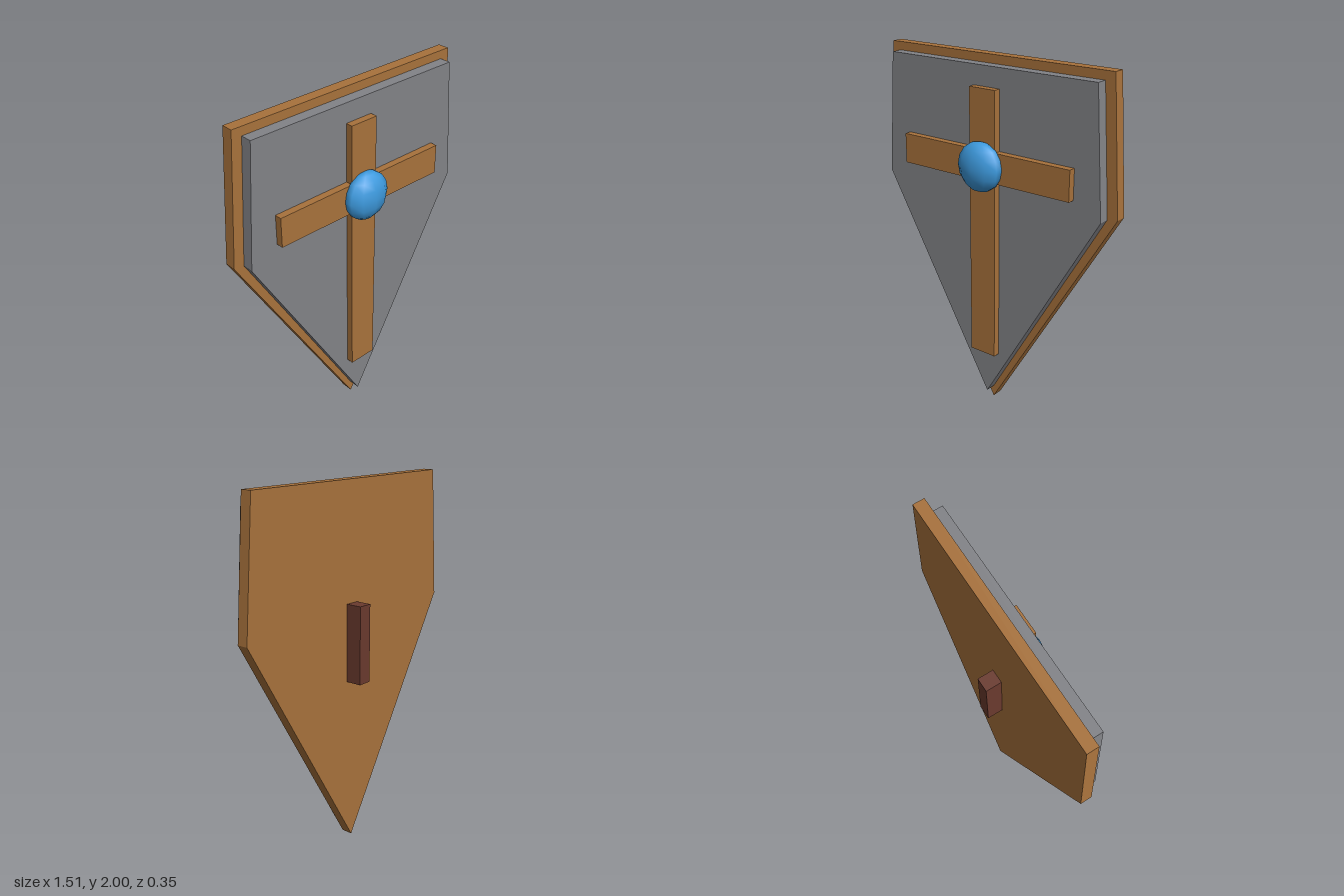
import * as THREE from 'three';

const material = (name, color) => {
  const m = new THREE.MeshStandardMaterial({ color });
  m.name = name;
  return m;
};

// Flat plate mirrored about x = 0; points run down the +x side.
function plate(name, side, z0, z1, mat) {
  const left = side.filter(([x]) => x > 0).map(([x, y]) => [-x, y]).reverse();
  const shape = new THREE.Shape([...side, ...left].map(([x, y]) => new THREE.Vector2(x, y)));
  const geo = new THREE.ExtrudeGeometry(shape, { depth: z1 - z0, bevelEnabled: false });
  geo.translate(0, 0, z0);
  const mesh = new THREE.Mesh(geo, mat);
  mesh.name = name;
  return mesh;
}

export function createModel() {
  const wood = material('wood', 0xa8723c);
  const steel = material('steel', 0x828387);
  const blue = material('blue', 0x3d9ade);
  const darkWood = material('dark wood', 0x6a3a2e);

  const group = new THREE.Group();
  group.name = 'shield';

  // Wooden backing and the steel face on it
  group.add(plate('backing', [[0.7, 2], [0.755, 1.285], [0, 0]], -0.084, -0.021, wood));
  group.add(plate('face', [[0.648, 1.954], [0.698, 1.278], [0, 0.068]], -0.021, 0.041, steel));

  // Raised cross
  group.add(plate('cross', [
    [0.082, 1.847], [0.082, 1.525], [0.538, 1.525], [0.538, 1.36], [0.082, 1.36], [0.082, 0.34],
  ], 0.041, 0.081, wood));

  // Flattened round boss
  const bossGeo = new THREE.SphereGeometry(1, 10, 8);
  bossGeo.rotateY(Math.PI / 2);
  bossGeo.scale(0.135, 0.135, 0.077);
  const boss = new THREE.Mesh(bossGeo, blue);
  boss.name = 'boss';
  boss.position.set(0, 1.442, 0.098);
  group.add(boss);

  // Grip on the back
  const grip = new THREE.Mesh(new THREE.BoxGeometry(0.08, 0.428, 0.09), darkWood);
  grip.name = 'grip';
  grip.position.set(0, 1.146, -0.129);
  group.add(grip);

  return group;
}
